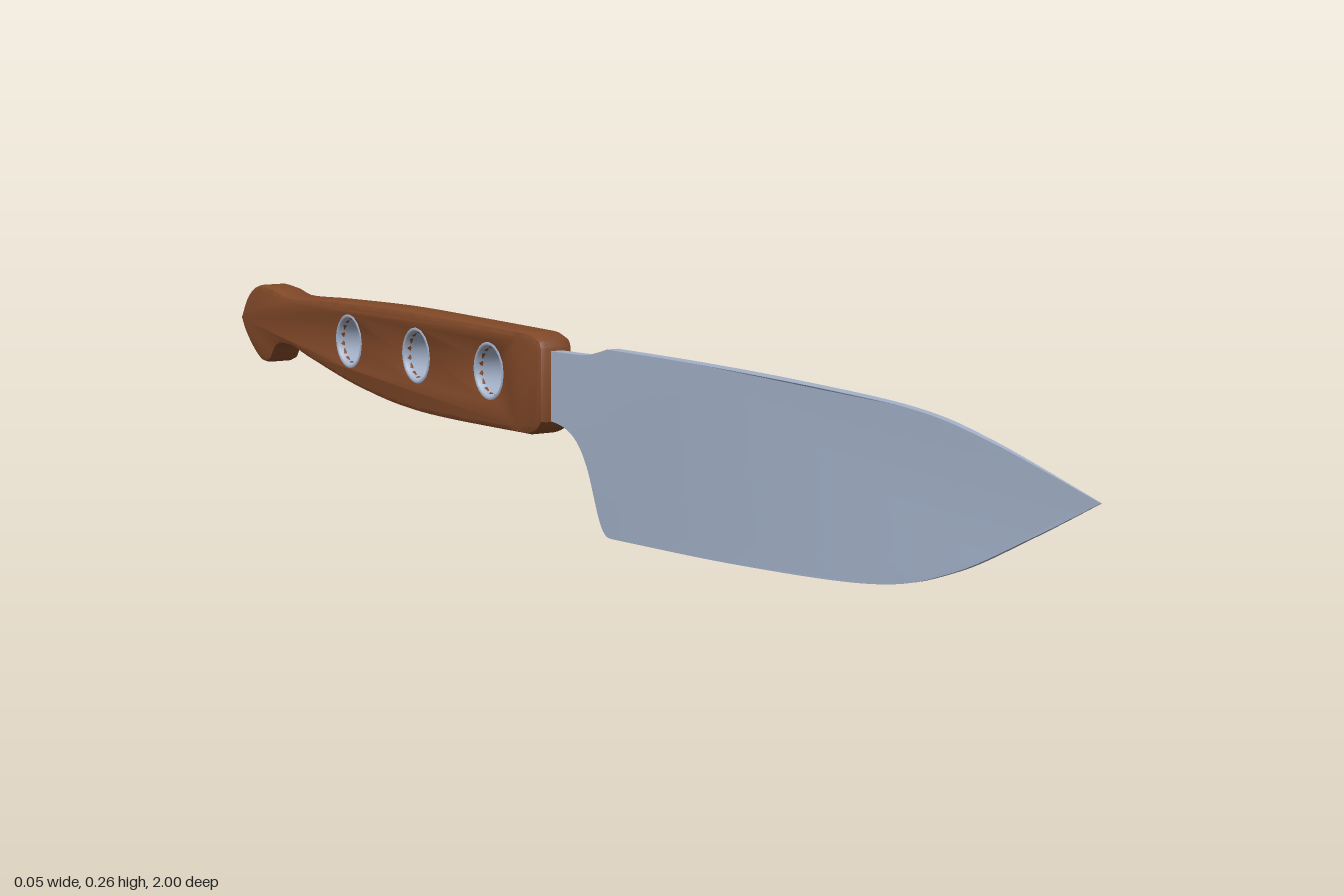
import * as THREE from 'three';
import { toCreasedNormals } from 'three/addons/utils/BufferGeometryUtils.js';

const steel = new THREE.MeshStandardMaterial({ color: 0xa3b1c9, side: THREE.DoubleSide });
const wood = new THREE.MeshStandardMaterial({ color: 0x804828 });

// Outline made of lines to single points and smooth curves through point runs; coordinates are [z, y].
function outline(start, runs) {
  const shape = new THREE.Shape().moveTo(...start);
  for (const run of runs) {
    if (run.length === 1) shape.lineTo(...run[0]);
    else shape.splineThru(run.map(([z, y]) => new THREE.Vector2(z, y)));
  }
  return shape;
}

// Extrude across x, with the profile lying in the z-y plane.
function extrudeSideways(shape, options) {
  const geometry = new THREE.ExtrudeGeometry(shape, options);
  geometry.translate(0, 0, -options.depth / 2);
  return geometry.rotateY(-Math.PI / 2);
}

function addMesh(group, name, geometry, material) {
  const mesh = new THREE.Mesh(geometry, material);
  mesh.name = name;
  group.add(mesh);
  return mesh;
}

export function createModel() {
  const group = new THREE.Group();
  group.name = 'knife';

  // Blade: tip, belly, heel, neck, spine
  const bladeShape = outline([1, 0.187], [
    [[0.89, 0.132], [0.76, 0.073], [0.62, 0.037], [0.35, 0.015], [0.06, 0.002]],
    [[0.045, 0.005], [0.03, 0.025], [0.005, 0.088], [-0.02, 0.121], [-0.05, 0.136], [-0.085, 0.141]],
    [[-0.13, 0.141]],
    [[-0.13, 0.235]],
    [[-0.07, 0.236], [0.0, 0.239], [0.03, 0.245], [0.055, 0.252]],
    [[0.25, 0.255], [0.45, 0.255], [0.68, 0.25], [0.82, 0.23], [1, 0.187]],
  ]);
  const blade = extrudeSideways(bladeShape, { depth: 2, bevelEnabled: false, curveSegments: 10 });
  // Thin the blade toward its cutting edge and its tip
  const p = blade.attributes.position;
  for (let i = 0; i < p.count; i++) {
    const edge = 0.0045 + 0.0045 * Math.min(1, p.getY(i) / 0.13);
    const tip = Math.min(1, 0.08 + (1 - p.getZ(i)) * 1.8);
    p.setX(i, Math.sign(p.getX(i)) * edge * tip);
  }
  addMesh(group, 'blade', toCreasedNormals(blade, 0.6), steel);

  // Handle with rounded pommel and three through holes
  const handleShape = outline([-0.083, 0.14], [
    [[-0.083, 0.238]],
    [[-0.09, 0.25], [-0.115, 0.258]],
    [[-0.3, 0.258], [-0.5, 0.257], [-0.7, 0.25], [-0.83, 0.244], [-0.89, 0.252],
      [-0.94, 0.252], [-0.975, 0.232], [-1, 0.197]],
    [[-0.985, 0.175], [-0.955, 0.149], [-0.925, 0.134], [-0.9, 0.138], [-0.882, 0.158],
      [-0.86, 0.167], [-0.82, 0.166], [-0.75, 0.152], [-0.6, 0.127], [-0.42, 0.113], [-0.12, 0.119]],
    [[-0.098, 0.126], [-0.083, 0.14]],
  ]);
  const rivetZ = [-0.22, -0.425, -0.63], rivetY = 0.195;
  for (const z of rivetZ) {
    handleShape.holes.push(new THREE.Path().absarc(z, rivetY, 0.033, 0, Math.PI * 2, true));
  }
  const bevel = 0.008;
  const handle = extrudeSideways(handleShape, {
    depth: 0.034, bevelSize: bevel, bevelOffset: -bevel, bevelThickness: 0.009,
    bevelSegments: 2, curveSegments: 8,
  });
  addMesh(group, 'handle', toCreasedNormals(handle, 0.6), wood);

  // Flared metal linings of the holes
  const liningProfile = [
    [0.041, -0.025], [0.038, -0.0275], [0.035, -0.025], [0.032, -0.014],
    [0.032, 0.014], [0.035, 0.025], [0.038, 0.0275], [0.041, 0.025],
  ].map(([r, h]) => new THREE.Vector2(r, h));
  const lining = new THREE.LatheGeometry(liningProfile, 28).rotateZ(Math.PI / 2);
  rivetZ.forEach((z, i) => {
    addMesh(group, `rivetLining${i + 1}`, lining, steel).position.set(0, rivetY, z);
  });

  return group;
}
